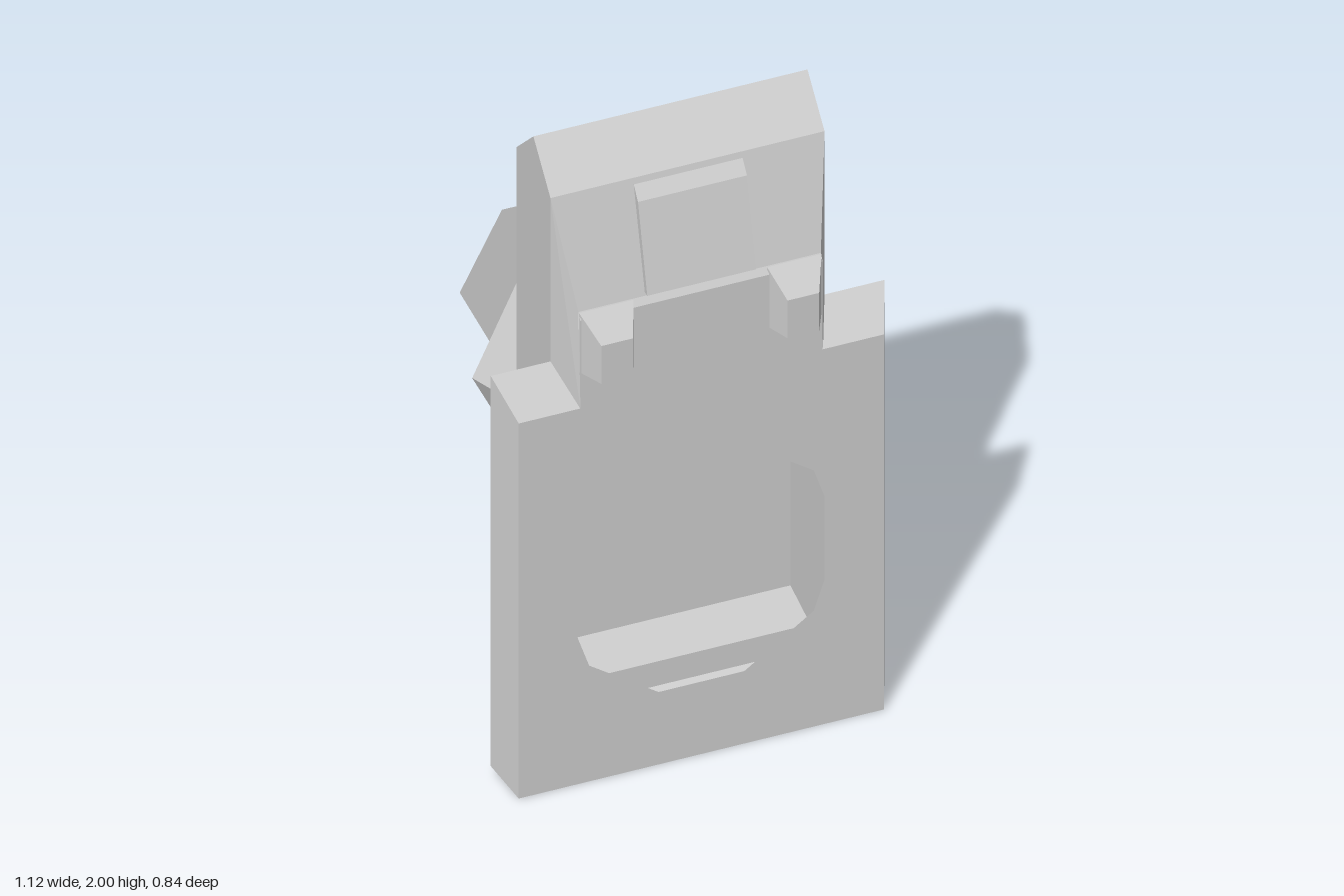
import * as THREE from 'three';

const mat = new THREE.MeshStandardMaterial({ color: 0xcccccc, flatShading: true, side: THREE.DoubleSide });

// Surface from a list of triangles, each three [x, y, z] points
function surface(tris) {
  const g = new THREE.BufferGeometry();
  g.setAttribute('position', new THREE.Float32BufferAttribute(tris.flat(2), 3));
  g.computeVertexNormals();
  return g;
}
// Quads between two outlines with matching corners
function loft(a, b, closed = true) {
  const tris = [];
  for (let i = 0; i < a.length - (closed ? 0 : 1); i++) {
    const j = (i + 1) % a.length;
    tris.push([a[i], a[j], b[j]], [a[i], b[j], b[i]]);
  }
  return surface(tris);
}
// Filled convex polygon
const fan = p => surface(p.slice(2).map((q, i) => [p[0], p[i + 1], q]));
const shape = pts => new THREE.Shape(pts.map(p => new THREE.Vector2(...p)));
const atZ = (pts, z) => pts.map(([x, y]) => [x, y, z]);
const mirrorX = pts => pts.map(([x, y, z]) => [-x, y, z]);
// Regular polygon in the xy plane
const ring = (n, r, cy) => Array.from({ length: n }, (_, i) => {
  const t = (i / n) * Math.PI * 2;
  return [r * Math.cos(t), cy + r * Math.sin(t)];
});
// Six-sided outline: middle, top and bottom half widths and heights
const hexagon = (xm, ym, xt, yt, xb, yb) =>
  [[xm, ym], [xt, yt], [-xt, yt], [-xm, ym], [-xb, yb], [xb, yb]];

export function createModel() {
  const model = new THREE.Group();
  const add = (name, geometry, parent = model) => {
    const m = new THREE.Mesh(geometry, mat);
    m.name = name;
    parent.add(m);
    return m;
  };
  const group = name => {
    const g = new THREE.Group();
    g.name = name;
    model.add(g);
    return g;
  };

  // Hollow body, open towards the front plate; side profile is [z, y]
  const body = group('body');
  const profile = [[0.26, 0.05], [0.16, 0.1], [0.16, 0.18], [0.02, 0.21],
    [0.02, 1.88], [0.14, 2], [0.26, 1.88]];
  const side = x => profile.map(([z, y]) => [x, y, z]);
  add('bodyShell', loft(side(0.39), side(-0.39), false), body);
  for (const s of [1, -1]) {
    const g = new THREE.ShapeGeometry(shape(profile)).rotateY(-Math.PI / 2);
    add('bodySide', g.translate(s * 0.39, 0, 0), body);
    const bevel = [[0.39, 1.88, 0.26], [0.345, 1.55, 0.345], [0.345, 1.24, 0.36], [0.39, 1.34, 0.26]];
    add('shoulderBevel', fan(s > 0 ? bevel : mirrorX(bevel)), body);
  }
  add('upperSlope', fan([[-0.345, 1.55, 0.345], [0.345, 1.55, 0.345],
    [0.39, 1.88, 0.26], [-0.39, 1.88, 0.26]]), body);
  add('slopeLedge', fan([[-0.345, 1.53, 0.358], [0.345, 1.53, 0.358],
    [0.345, 1.55, 0.345], [-0.345, 1.55, 0.345]]), body);

  // Front plate with a ten-sided opening and bevelled rim
  const plate = group('frontPlate');
  const face = shape([[-0.52, 0], [0.52, 0], [0.52, 1.24], [0.345, 1.24], [0.345, 1.53],
    [-0.345, 1.53], [-0.345, 1.24], [-0.52, 1.24]]);
  face.holes.push(new THREE.Path(ring(10, 0.395, 0.615).map(p => new THREE.Vector2(...p))));
  add('plateFace', new THREE.ShapeGeometry(face).translate(0, 0, 0.358), plate);
  const front = atZ([[0.345, 1.24], [0.52, 1.24], [0.52, 0], [-0.52, 0], [-0.52, 1.24], [-0.345, 1.24]], 0.358);
  const back = atZ([[0.39, 1.34], [0.56, 1.34], [0.56, 0.05], [-0.56, 0.05], [-0.56, 1.34], [-0.39, 1.34]], 0.26);
  add('plateRim', loft(front, back, false), plate);
  for (const s of [1, -1]) {
    add('plateFlange', new THREE.PlaneGeometry(0.17, 1.29).rotateY(Math.PI)
      .translate(s * 0.475, 0.695, 0.26), plate);
  }

  // Pair of tapered lugs at the shoulders
  for (const s of [1, -1]) {
    const root = atZ([[s * 0.19, 1.355], [s * 0.345, 1.355], [s * 0.345, 1.55], [s * 0.19, 1.55]], 0.35);
    const tip = atZ([[s * 0.22, 1.355], [s * 0.31, 1.355], [s * 0.31, 1.48], [s * 0.22, 1.48]], 0.42);
    const lug = group('lug');
    add('lugSides', loft(root, tip), lug);
    add('lugTip', fan(tip), lug);
  }

  // Raised panel lying on the upper slope; profile is [z, y]
  const panel = shape([[0.34, 1.56], [0.36, 1.56], [0.295, 1.825], [0.262, 1.865]]);
  add('slopePanel', new THREE.ExtrudeGeometry(panel, { depth: 0.31, bevelEnabled: false })
    .rotateY(-Math.PI / 2).translate(0.155, 0, 0));

  // Six-sided socket that widens towards the back, with a round recess
  const socket = group('rearSocket');
  const inner = atZ(hexagon(0.335, 1.03, 0.24, 1.23, 0.2, 0.73), 0.14);
  const base = atZ(hexagon(0.388, 1.03, 0.25, 1.33, 0.22, 0.672), 0.02);
  const rim = atZ(hexagon(0.455, 1.03, 0.265, 1.45, 0.255, 0.61), -0.13);
  const dish = hexagon(0.425, 1.03, 0.245, 1.415, 0.235, 0.645);
  add('socketFront', fan(inner), socket);
  add('socketNeck', loft(inner, base), socket);
  add('socketSides', loft(base, rim), socket);
  add('socketLip', loft(rim, atZ(dish, -0.115)), socket);
  const collar = shape(dish);
  const bore = ring(16, 0.325, 1.03);
  collar.holes.push(new THREE.Path(bore.map(p => new THREE.Vector2(...p))));
  add('socketFace', new THREE.ShapeGeometry(collar).translate(0, 0, -0.115), socket);
  add('recessWall', loft(atZ(bore, -0.115), atZ(bore, 0)), socket);
  add('recessFloor', fan(atZ(bore, 0)), socket);

  // Block on top of the socket
  add('topBlock', new THREE.BoxGeometry(0.23, 0.12, 0.1).translate(0, 1.375, -0.03));

  // Rounded hub inside the socket; profile is [z, y]
  const hub = shape([[0, 0.95], [-0.28, 0.95], [-0.285, 1.04], [-0.27, 1.1], [-0.235, 1.15],
    [-0.19, 1.18], [-0.13, 1.19], [0, 1.19]]);
  add('hub', new THREE.ExtrudeGeometry(hub, { depth: 0.24, bevelEnabled: false })
    .rotateY(-Math.PI / 2).translate(0.12, 0, 0));

  // Tapered upright peg
  add('peg', new THREE.CylinderGeometry(0.047, 0.068, 0.48, 10).translate(0, 1.42, -0.13));

  // Thin six-sided rear plate carried by two pairs of fins
  add('rearPlate', fan(atZ(hexagon(0.375, 1.09, 0.255, 1.33, 0.21, 0.73), -0.415)));
  const upperFin = [[0, 1.3], [-0.13, 1.315], [-0.415, 1.325], [-0.415, 1.13], [-0.365, 1.17],
    [-0.13, 1.22], [0, 1.24]];
  const lowerFin = [[0, 0.76], [-0.13, 0.79], [-0.418, 0.88], [-0.418, 0.72], [-0.13, 0.735], [0, 0.74]];
  for (const s of [1, -1]) {
    for (const [name, pts, x] of [['upperFin', upperFin, 0.15], ['lowerFin', lowerFin, 0.142]]) {
      add(name, new THREE.ShapeGeometry(shape(pts)).rotateY(-Math.PI / 2).translate(s * x, 0, 0));
    }
  }
  add('finBrace', fan([[-0.155, 1.13, -0.417], [0.155, 1.13, -0.417],
    [0.14, 1.17, -0.37], [-0.14, 1.17, -0.37]]));

  return model;
}
